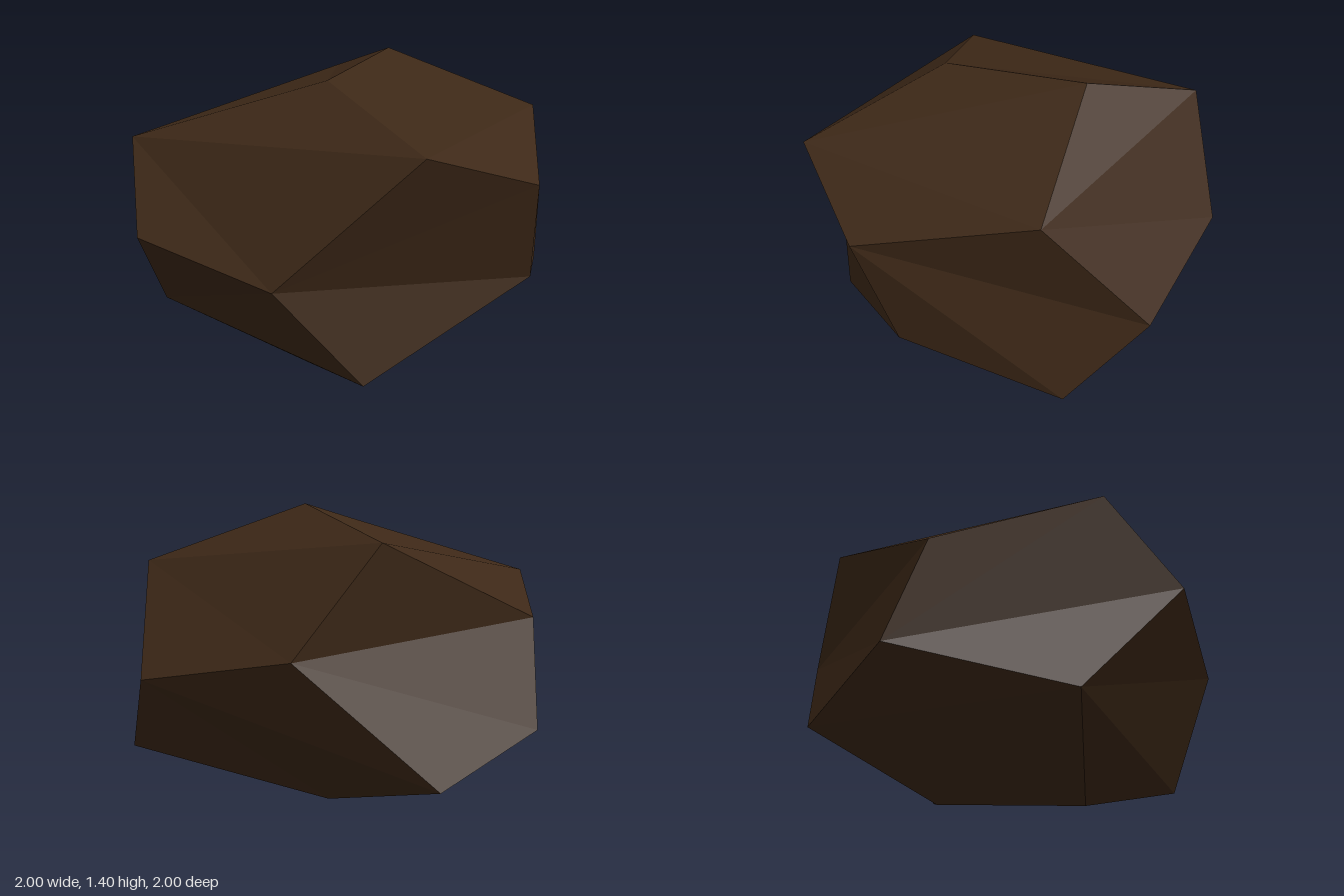
import * as THREE from 'three';

// Half of the rock's corners, relative to its centre; the rest are their opposites
const CORNERS = [
  [0.375, 0.70, -0.035], [-0.30, 0.643, 0.105], // top ridge
  [0.637, 0.538, -0.545], [-0.768, 0.38, -0.638], // upper back
  [-0.545, 0.45, 0.765], [0.635, 0.45, 0.638], // upper front
  [-0.04, 0.268, 0.998], [-0.108, 0.203, -0.918], // front and back tips
  [0.998, -0.022, 0.375], [0.912, 0.088, -0.30], // left side
].map((c) => new THREE.Vector3(...c));

export function createModel() {
  const group = new THREE.Group();
  group.name = 'rock';

  const darkBrown = new THREE.MeshStandardMaterial({ color: 0x3d2817 });
  darkBrown.name = 'darkBrown';

  // Dodecahedron squashed in height, each corner pulled to its nearest irregular one
  const corners = CORNERS.flatMap((c) => [c, c.clone().negate()]);
  const geometry = new THREE.DodecahedronGeometry(1, 0);
  geometry.scale(1, 0.75, 1);
  const pos = geometry.attributes.position;
  const v = new THREE.Vector3();
  for (let i = 0; i < pos.count; i++) {
    v.fromBufferAttribute(pos, i);
    const near = corners.reduce((a, b) => (v.distanceToSquared(b) < v.distanceToSquared(a) ? b : a));
    pos.setXYZ(i, near.x, near.y + 0.7, near.z);
  }
  geometry.computeVertexNormals(); // unshared corners give flat facets

  const boulder = new THREE.Mesh(geometry, darkBrown);
  boulder.name = 'boulder';
  group.add(boulder);
  return group;
}
